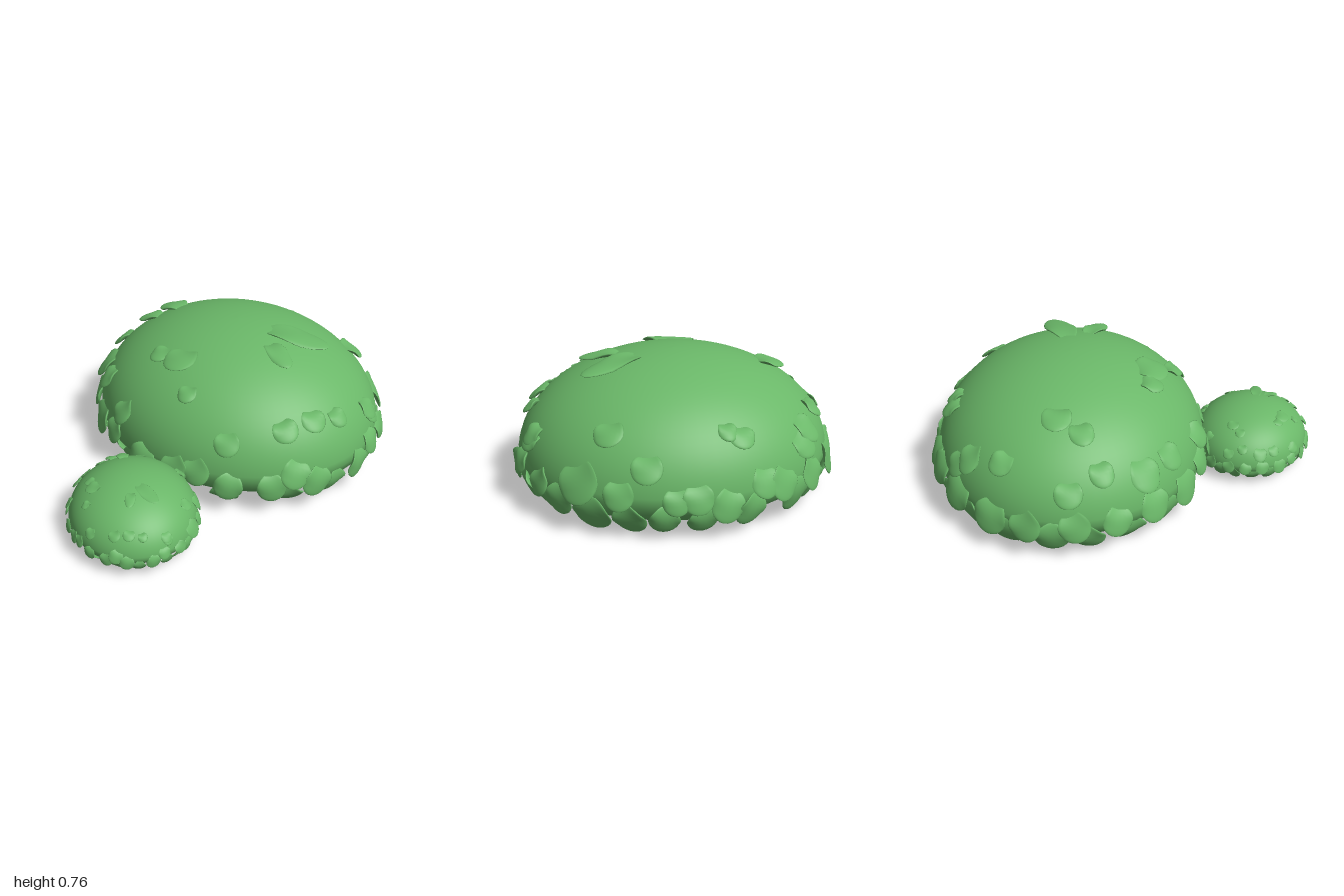
import * as THREE from 'three';

const RX = 0.762, RZ = 0.856, MID = 0.21, RISE = 0.56, DROP = 0.29;
const green = new THREE.MeshStandardMaterial({ color: 0x6ab768, side: THREE.DoubleSide });

// Rounded oval dome with a nearly flat, softly rimmed underside
function domeGeometry() {
  const pts = [[0, 0.016], [0.45, 0.022], [0.66, 0.034], [0.8, 0.056], [0.9, 0.095], [0.97, 0.15]]
    .map(([r, y]) => new THREE.Vector2(r, y));
  for (let i = 0; i <= 24; i++) {
    const a = (i / 24) * Math.PI / 2;
    pts.push(new THREE.Vector2(Math.max(Math.cos(a), 0), MID + RISE * Math.sin(a)));
  }
  return new THREE.LatheGeometry(pts, 64).scale(RX, 1, RZ);
}

// Thin rounded leaf, cupped at its upper end so a notch sinks into the dome
function leafGeometry() {
  const g = new THREE.SphereGeometry(1, 18, 12);
  const p = g.attributes.position;
  for (let i = 0; i < p.count; i++) {
    const x = p.getX(i), y = p.getY(i), up = Math.max(0, y + 0.2);
    p.setZ(i, p.getZ(i) * 0.16 + 0.45 * x * x * up - 0.22 * up * up - 0.06 * x * x);
  }
  g.computeVertexNormals();
  return g;
}

// Small repeatable jitter in -1..1
const jitter = (n) => {
  const s = Math.sin(n * 127.1 + 11.7) * 43758.5453;
  return (s - Math.floor(s)) * 2 - 1;
};

// Upper leaves: x, z, half width, half length (measured from the dome centre)
const UPPER = [
  [-0.23, -0.72, 0.065, 0.075], [-0.12, -0.59, 0.065, 0.08], [0.01, -0.53, 0.08, 0.09],
  [0.27, -0.69, 0.07, 0.07], [0.45, -0.6, 0.075, 0.09], [0.63, -0.21, 0.07, 0.07],
  [0.62, -0.14, 0.05, 0.06], [0.52, 0.42, 0.08, 0.08], [-0.35, 0.65, 0.07, 0.07],
  [-0.2, 0.71, 0.07, 0.07], [-0.06, 0.76, 0.055, 0.06], [-0.58, 0.46, 0.07, 0.07],
  [-0.56, 0.16, 0.055, 0.06], [-0.45, -0.15, 0.065, 0.07], [-0.44, -0.01, 0.1, 0.1],
  [-0.56, -0.48, 0.075, 0.08], [-0.44, -0.63, 0.09, 0.1], [0.2, 0.77, 0.065, 0.07],
  [0.1, 0.34, 0.085, 0.19], [-0.1, 0.38, 0.06, 0.12],
];

// Rim leaves: degrees from +z towards +x, height, half size
const RIM = [
  [-66, 0.25, 0.08], [-56, 0.08, 0.08], [-54, 0.19, 0.08], [-38, 0.19, 0.08], [-29, 0.26, 0.085],
  [-29, 0.095, 0.08], [-20, 0.19, 0.088], [-10, 0.13, 0.08], [2, 0.18, 0.085], [12, 0.25, 0.075],
  [15, 0.14, 0.08], [17, 0.38, 0.065], [28, 0.22, 0.08], [29, 0.11, 0.08], [38, 0.17, 0.085],
  [47, 0.29, 0.115], [51, 0.13, 0.105], [62, 0.26, 0.08], [65, 0.13, 0.09], [71, 0.39, 0.08],
  [77, 0.14, 0.08], [81, 0.24, 0.07], [88, 0.25, 0.08], [90, 0.13, 0.08], [98, 0.2, 0.09],
  [107, 0.15, 0.09], [112, 0.28, 0.085], [134, 0.38, 0.08], [186, 0.39, 0.075], [256, 0.38, 0.08],
];
// Two alternating rows carry on round the rest
for (let i = 0; i < 21; i++) {
  RIM.push([119 + i * 8.4 + 2 * jitter(i), (i % 2 ? 0.125 : 0.235) + 0.03 * jitter(i + 50), 0.092 + 0.012 * jitter(i + 90)]);
}

function createBush() {
  const bush = new THREE.Group();
  const dome = new THREE.Mesh(domeGeometry(), green);
  dome.name = 'dome';
  bush.add(dome);

  const leaves = new THREE.Group();
  leaves.name = 'leaves';
  bush.add(leaves);
  const geo = leafGeometry();

  // Lays a leaf on the dome, pointing downhill with its tip lifted
  function addLeaf(x, y, z, w, l, tilt, spin) {
    const rise = y < MID ? DROP : RISE;
    const n = new THREE.Vector3(x / RX ** 2, (y - MID) / rise ** 2, z / RZ ** 2).normalize();
    const up = new THREE.Vector3(0, 1, 0).addScaledVector(n, -n.y).normalize();
    const side = new THREE.Vector3().crossVectors(up, n);
    const leaf = new THREE.Mesh(geo, green);
    leaf.name = 'leaf';
    leaf.quaternion.setFromRotationMatrix(new THREE.Matrix4().makeBasis(side, up, n));
    leaf.rotateZ(spin);
    leaf.rotateX(-tilt);
    leaf.position.set(x, y, z).addScaledVector(n, 0.016);
    leaf.scale.set(w, l, 0.09);
    leaves.add(leaf);
  }

  UPPER.forEach(([x, z, w, l], i) => {
    const r2 = Math.min((x / RX) ** 2 + (z / RZ) ** 2, 0.97);
    addLeaf(x, MID + RISE * Math.sqrt(1 - r2), z, w, l, l > 0.11 ? 0.12 : 0.2, 0.3 * jitter(i));
  });

  RIM.forEach(([deg, y, s], i) => {
    const a = THREE.MathUtils.degToRad(deg);
    const v = (y - MID) / (y < MID ? DROP : RISE);
    const r = Math.sqrt(1 - v * v);
    addLeaf(RX * r * Math.sin(a), y, RZ * r * Math.cos(a), s, s, 0.25, 0.5 * jitter(i + 400));
  });
  return bush;
}

export function createModel() {
  const model = new THREE.Group();
  model.name = 'bushes';

  // Large bush, its long axis turned off the z axis
  const large = createBush();
  large.name = 'largeBush';
  large.position.set(0.15, 0, -0.105);
  large.rotation.y = 0.5;

  // Smaller copy at the front right corner
  const small = createBush();
  small.name = 'smallBush';
  small.position.set(-0.655, 0.022, 0.603);
  small.scale.setScalar(0.433);

  model.add(large, small);
  return model;
}
